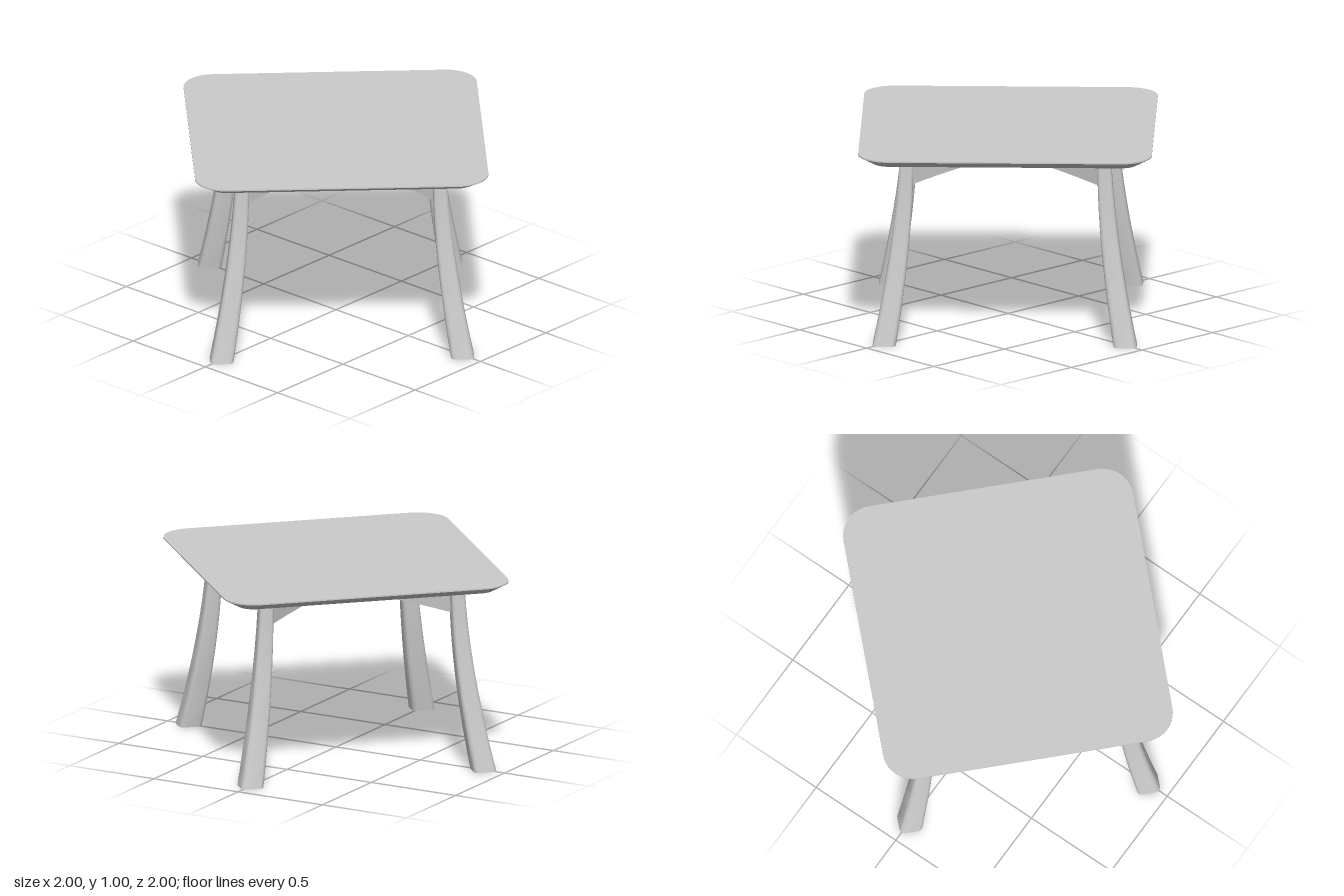
import * as THREE from 'three';
import { toCreasedNormals } from 'three/addons/utils/BufferGeometryUtils.js';

const material = new THREE.MeshStandardMaterial({ color: 0xcccccc });
const UNDERSIDE = 0.957;

// Horizontal square ring with rounded corners pointing along x and z.
// reach: centre to corner tip, r: corner radius, cx: shift along x
function ring(y, reach, r, segments, cx = 0) {
  const points = [];
  const d = reach - r;
  for (let k = 0; k < 4; k++) {
    const mid = k * Math.PI / 2;
    for (let i = 0; i <= segments; i++) {
      const a = mid + (i / segments - 0.5) * Math.PI / 2;
      points.push(new THREE.Vector3(
        cx + d * Math.cos(mid) + r * Math.cos(a), y,
        d * Math.sin(mid) + r * Math.sin(a)));
    }
  }
  return points;
}

// Closed solid through rings listed from bottom to top
function loft(rings) {
  const n = rings[0].length;
  const vertices = rings.flat();
  const index = [];
  for (let i = 0; i < rings.length - 1; i++) {
    for (let j = 0; j < n; j++) {
      const a = i * n + j, b = i * n + (j + 1) % n;
      index.push(a, a + n, b, b, a + n, b + n);
    }
  }
  const top = (rings.length - 1) * n;
  for (let j = 1; j < n - 1; j++) {
    index.push(0, j, j + 1, top, top + j + 1, top + j);
  }
  const geometry = new THREE.BufferGeometry().setFromPoints(vertices);
  geometry.setIndex(index);
  return toCreasedNormals(geometry, 0.55);
}

function addMesh(parent, geometry, name) {
  const mesh = new THREE.Mesh(geometry, material);
  mesh.name = name;
  parent.add(mesh);
  return mesh;
}

// Leg flaring outward and thickening towards the foot
function legGeometry() {
  const rings = [];
  const steps = 16;
  for (let i = 0; i <= steps; i++) {
    const t = i / steps;
    const cx = 0.72 + 0.155 * Math.pow(1 - t, 1.65);
    const reach = THREE.MathUtils.lerp(0.073, 0.043, t);
    rings.push(ring(t * UNDERSIDE, reach, reach * 0.38, 5, cx));
  }
  return loft(rings);
}

// Thin rail with a gently arched lower edge
function railGeometry() {
  const end = 0.7, thickness = 0.04;
  const shape = new THREE.Shape();
  shape.moveTo(-end, UNDERSIDE);
  shape.lineTo(-end, 0.818);
  shape.quadraticCurveTo(0, 0.888, end, 0.818);
  shape.lineTo(end, UNDERSIDE);
  shape.closePath();
  const geometry = new THREE.ExtrudeGeometry(shape, {
    depth: thickness, bevelEnabled: false, curveSegments: 24 });
  geometry.translate(0, 0, -thickness / 2);
  return toCreasedNormals(geometry, 0.5);
}

export function createModel() {
  const table = new THREE.Group();
  table.name = 'table';

  // Top with undercut edge
  addMesh(table, loft([
    ring(UNDERSIDE, 0.925, 0.085, 10),
    ring(0.998, 1, 0.16, 10),
    ring(1.005, 1, 0.16, 10),
  ]), 'tabletop');

  // Four legs, one under each corner
  const leg = legGeometry();
  ['leftLeg', 'backLeg', 'rightLeg', 'frontLeg'].forEach((name, i) => {
    addMesh(table, leg, name).rotation.y = i * Math.PI / 2;
  });

  // Crossed rails joining opposite legs
  const rail = railGeometry();
  addMesh(table, rail, 'sideToSideRail');
  addMesh(table, rail, 'frontToBackRail').rotation.y = Math.PI / 2;

  return table;
}
